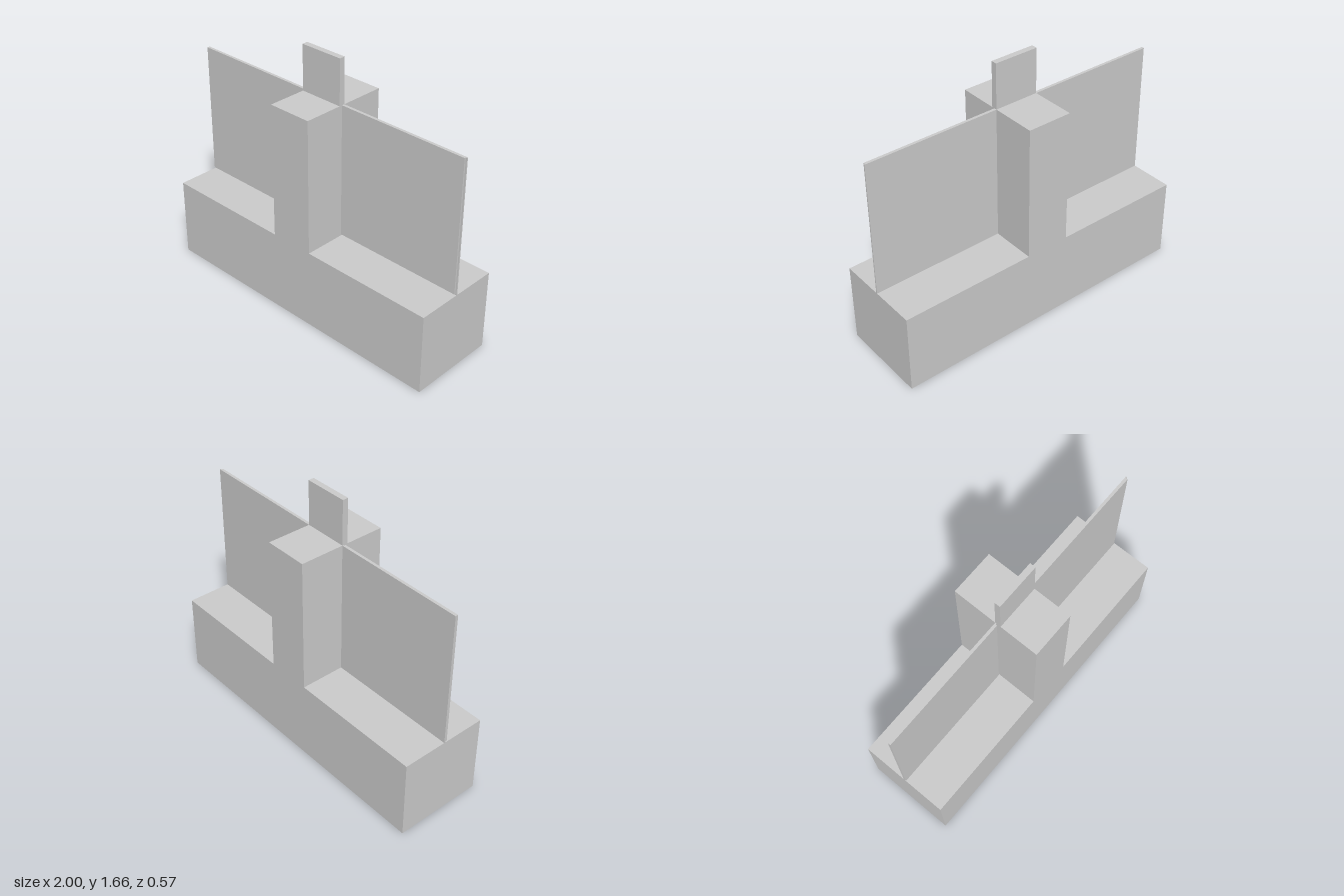
import * as THREE from 'three';

const material = new THREE.MeshStandardMaterial({ color: 0xcccccc, flatShading: true });

// Box given by its minimum and maximum corners
function block(name, [x0, y0, z0], [x1, y1, z1]) {
  const mesh = new THREE.Mesh(new THREE.BoxGeometry(x1 - x0, y1 - y0, z1 - z0), material);
  mesh.name = name;
  mesh.position.set((x0 + x1) / 2, (y0 + y1) / 2, (z0 + z1) / 2);
  return mesh;
}

export function createModel() {
  const model = new THREE.Group();
  model.name = 'model';
  const depth = 0.285, post = 0.143, ledge = 0.514, top = 1.371;

  // Inverted T body: one solid, so no seam between base and post
  const outline = new THREE.Shape([
    [-1, 0], [1, 0], [1, ledge], [post, ledge],
    [post, top], [-post, top], [-post, ledge], [-1, ledge],
  ].map(([x, y]) => new THREE.Vector2(x, y)));
  const bodyGeometry = new THREE.ExtrudeGeometry(outline, { depth: 2 * depth, bevelEnabled: false });
  bodyGeometry.translate(0, 0, -depth);
  const body = new THREE.Mesh(bodyGeometry, material);
  body.name = 'baseAndPost';
  model.add(body);

  // Thin panels beside the post, each with a slightly inset front layer
  for (const [side, x] of [['right', -1], ['left', post]]) {
    const end = x + 1 - post;
    model.add(block(side + 'Panel', [x, ledge, 0], [end, top, 0.008]));
    model.add(block(side + 'PanelFace', [x, ledge + 0.008, 0.008], [end - 0.007, top, 0.018]));
  }

  // Upright tab on top of the post
  model.add(block('topTab', [-post, top, 0], [post, 1.657, 0.037]));
  return model;
}
